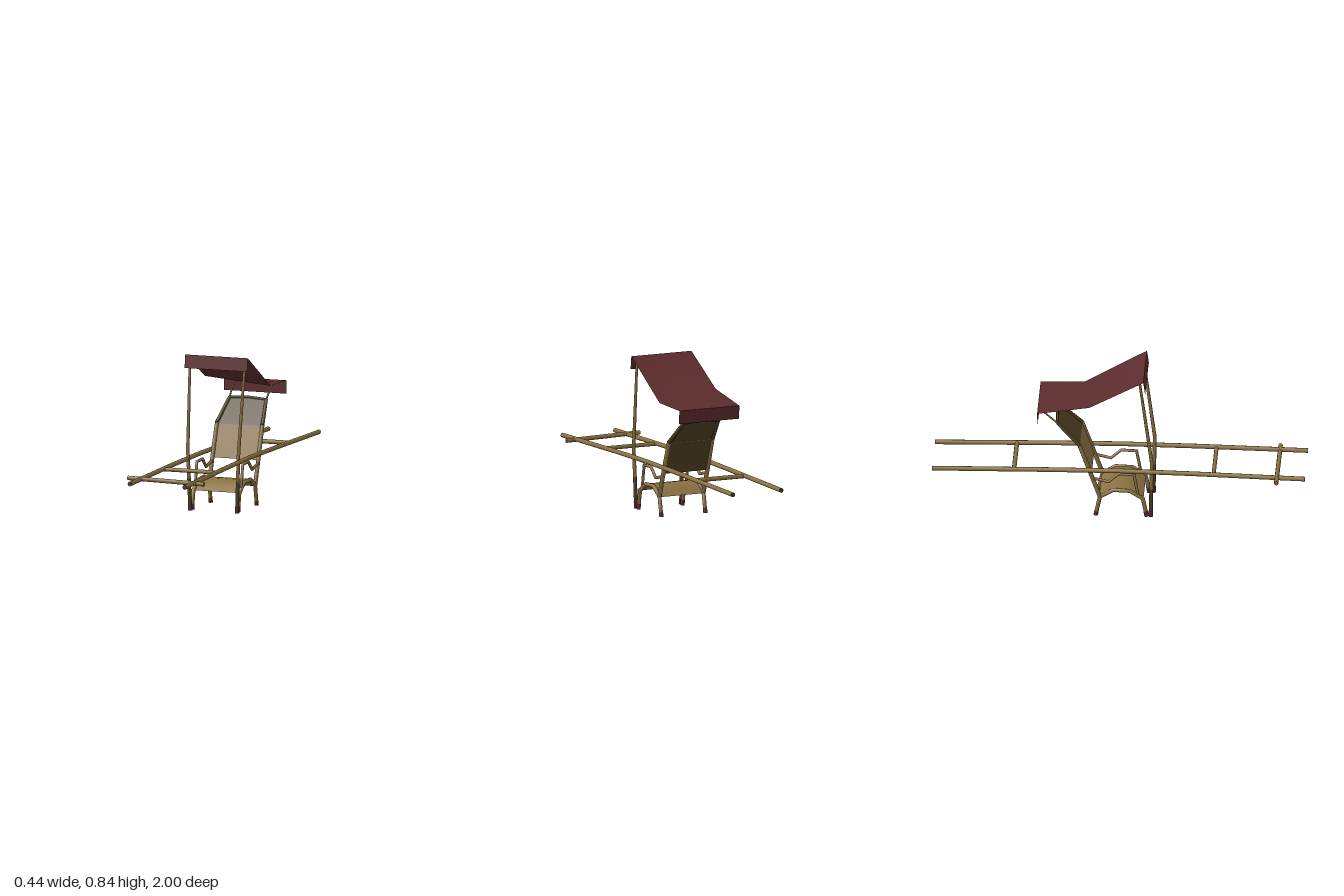
import * as THREE from 'three';

const material = (name, color) => {
  const m = new THREE.MeshStandardMaterial({ color, side: THREE.DoubleSide });
  m.name = name;
  return m;
};

// Bar swept through a few points [x, y, z], mitred at bends; its ends form a second material group
function barGeometry(points, radii, sides = 8) {
  const P = points.map((p) => new THREE.Vector3(...p));
  const n = P.length, pos = [], side = [], ends = [];
  const along = P.slice(1).map((p, i) => p.clone().sub(P[i]).normalize());
  const rings = P.map((p, i) => {
    const a = along[Math.max(i - 1, 0)], b = along[Math.min(i, n - 2)];
    const t = a.clone().add(b).normalize();
    const ref = Math.abs(t.x) > 0.8 ? new THREE.Vector3(0, 1, 0) : new THREE.Vector3(1, 0, 0);
    const u = ref.addScaledVector(t, -ref.dot(t)).normalize();
    const v = new THREE.Vector3().crossVectors(t, u);
    const r = radii[i] ?? radii[0], mitre = 1 / t.dot(b);
    return Array.from({ length: sides }, (_, j) => {
      const q = (j / sides) * Math.PI * 2;
      return p.clone().addScaledVector(u, r * Math.cos(q)).addScaledVector(v, r * mitre * Math.sin(q));
    });
  });
  const put = (v) => pos.push(v.x, v.y, v.z) / 3 - 1;
  rings.forEach((ring) => ring.forEach(put));
  for (let i = 0; i < n - 1; i++) {
    for (let j = 0; j < sides; j++) {
      const k = (j + 1) % sides, a = i * sides, b = a + sides;
      side.push(a + j, a + k, b + k, a + j, b + k, b + j);
    }
  }
  for (const i of [0, n - 1]) {
    const c = put(P[i]);
    rings[i].forEach(put);
    for (let j = 0; j < sides; j++) {
      const a = c + 1 + j, b = c + 1 + ((j + 1) % sides);
      ends.push(c, ...(i ? [a, b] : [b, a]));
    }
  }
  const g = new THREE.BufferGeometry();
  g.setAttribute('position', new THREE.Float32BufferAttribute(pos, 3));
  g.setIndex([...side, ...ends]);
  g.addGroup(0, side.length, 0);
  g.addGroup(side.length, ends.length, 1);
  g.computeVertexNormals();
  return g;
}

// Thin sheet through rows of points; every row runs from -x to +x
function sheetGeometry(rows) {
  const w = rows[0].length, index = [];
  for (let i = 0; i < rows.length - 1; i++) {
    for (let j = 0; j < w - 1; j++) {
      const a = i * w + j, b = a + w;
      index.push(a, b + 1, b, a, a + 1, b + 1);
    }
  }
  const g = new THREE.BufferGeometry();
  g.setAttribute('position', new THREE.Float32BufferAttribute(rows.flat(2), 3));
  g.setIndex(index);
  g.computeVertexNormals();
  return g;
}

export function createModel() {
  const model = new THREE.Group();
  model.name = 'carryingChair';
  const wood = material('bambooTan', 0x8c7242);
  const dark = material('darkBrown', 0x4f3f23);
  const red = material('darkRed', 0x5c2b2d);

  const add = (name, geometry, mat) => {
    const mesh = new THREE.Mesh(geometry, mat);
    mesh.name = name;
    model.add(mesh);
  };
  const bar = (name, points, radii, mat = wood, end = mat) => add(name, barGeometry(points, radii), [mat, end]);

  const cx = 0.008; // middle of the chair
  for (const s of [-1, 1]) {
    const label = s > 0 ? 'left' : 'right';
    const x = (d) => cx + s * d;
    const path = (d, yz) => yz.map(([y, z]) => [x(d), y, z]);

    // Long carrying pole, slightly arched
    bar(label + 'CarryingPole', [
      [x(0.145), 0.265, -1], [x(0.148), 0.276, -0.4], [x(0.15), 0.281, 0],
      [x(0.153), 0.277, 0.4], [x(0.158), 0.265, 1]], [0.013], wood, dark);

    // Bent leg rail, carrying the seat
    bar(label + 'LegRail', path(0.132, [
      [0.03, 0.145], [0.105, 0.13], [0.15, 0.06], [0.153, -0.03], [0.11, -0.1], [0.025, -0.118]]), [0.011]);
    bar(label + 'FrontFoot', path(0.132, [[0, 0.15], [0.03, 0.145]]), [0.012], red);
    bar(label + 'BackFoot', path(0.132, [[0, -0.123], [0.025, -0.118]]), [0.012], red);

    // Back rail, its dark upper part narrowing to the head
    bar(label + 'BackRail', [
      [x(0.132), 0.11, -0.1], [x(0.132), 0.28, -0.16], [x(0.131), 0.42, -0.21]], [0.012, 0.012, 0.011]);
    bar(label + 'HeadSideRail', [[x(0.131), 0.42, -0.21], [x(0.106), 0.54, -0.33]], [0.011, 0.009], dark);

    // Armrest
    bar(label + 'Armrest', path(0.132, [
      [0.125, 0.105], [0.25, 0.082], [0.253, 0], [0.203, -0.055], [0.222, -0.135]]), [0.008]);

    // Canopy supports, the front post with a dark base and red foot
    bar(label + 'FrontPost', [
      [x(0.14), 0.17, 0.176], [x(0.146), 0.33, 0.179], [x(0.158), 0.82, 0.115]], [0.0105, 0.01, 0.007]);
    bar(label + 'PostBase', [[x(0.136), 0.035, 0.173], [x(0.14), 0.17, 0.176]], [0.011, 0.0105], dark);
    bar(label + 'PostFoot', [[x(0.134), 0, 0.173], [x(0.136), 0.035, 0.173]], [0.012], red);
    bar(label + 'RearSupport', [[x(0.105), 0.535, -0.325], [x(0.113), 0.63, -0.425]], [0.005]);
  }

  // Bars across the poles
  bar('frontYokeBar', [[-0.22, 0.272, 0.85], [0.22, 0.263, 0.85]], [0.012]);
  bar('frontCrossbar', [[-0.145, 0.272, 0.51], [0.155, 0.272, 0.51]], [0.011]);
  bar('rearCrossbar', [[-0.14, 0.272, -0.56], [0.15, 0.272, -0.56]], [0.012]);

  // Arched seat
  const flat = (w, y, z) => [[cx - w, y, z], [cx, y, z], [cx + w, y, z]];
  add('seat', sheetGeometry([[0.103, 0.133], [0.132, 0.095], [0.152, 0.06], [0.157, 0.02],
    [0.155, -0.03], [0.136, -0.07], [0.105, -0.105]].map(([y, z]) => flat(0.13, y, z))), wood);

  // Leaning back: tan panel in front, dark headrest and dark rear face
  const lower = [flat(0.13, 0.24, -0.145), flat(0.13, 0.33, -0.177), flat(0.13, 0.415, -0.208)];
  const upper = [lower[2], flat(0.117, 0.48, -0.27),
    [[-0.096, 0.535, -0.325], [cx, 0.542, -0.332], [0.112, 0.535, -0.325]]];
  const behind = lower.map((r) => r.map(([x, y, z]) => [x, y, z - 0.006]));
  add('backrest', sheetGeometry(lower), wood);
  add('headrest', sheetGeometry(upper), dark);
  add('backrestRear', sheetGeometry(behind), dark);
  bar('headRail', [[-0.098, 0.54, -0.33], [cx, 0.547, -0.335], [0.114, 0.54, -0.33]], [0.007], dark);

  // Cloth canopy, its fold lower on the left side, with hanging flaps
  const x0 = -0.17, x1 = 0.19, cols = 5;
  const row = (a, b) => Array.from({ length: cols }, (_, i) => {
    const k = i / (cols - 1);
    return [x0 + (x1 - x0) * k, a[0] + (b[0] - a[0]) * k, a[1] + (b[1] - a[1]) * k];
  });
  const level = (y, z) => row([y, z], [y, z]);
  const fold = row([0.677, -0.155], [0.637, -0.2]);
  add('canopy', sheetGeometry([level(0.837, 0.135), fold, level(0.632, -0.435)]), red);
  add('canopyFrontFlap', sheetGeometry([level(0.765, 0.145), level(0.837, 0.135)]), red);
  add('canopyRearFlap', sheetGeometry([level(0.56, -0.432), level(0.632, -0.435)]), red);

  return model;
}
